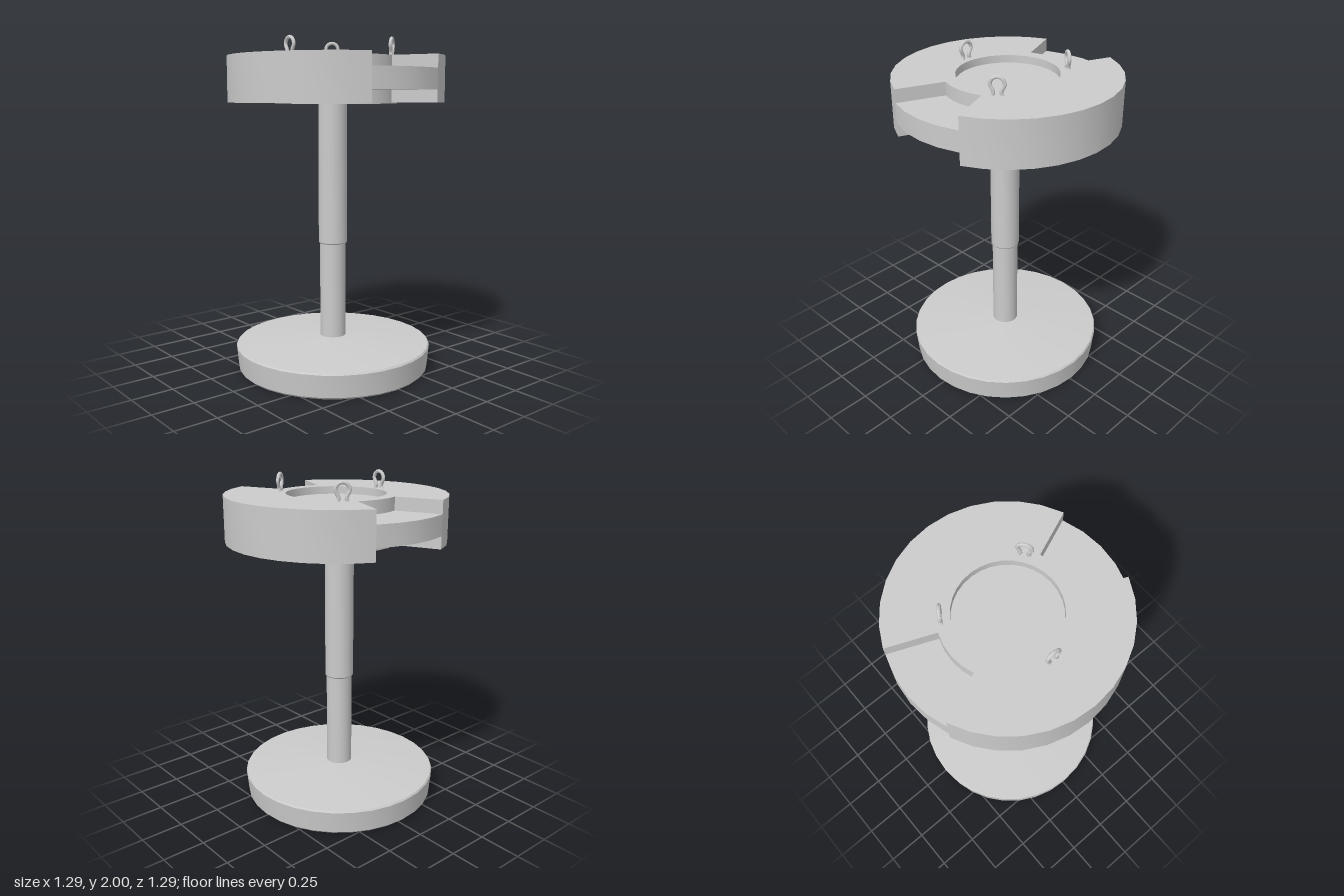
import * as THREE from 'three';
import { toCreasedNormals } from 'three/addons/utils/BufferGeometryUtils.js';

const material = new THREE.MeshStandardMaterial({ color: 0xcccccc });
const SEG = 32;
const STEP = (Math.PI * 2) / SEG;

function addPart(parent, name, geometry) {
  const mesh = new THREE.Mesh(toCreasedNormals(geometry, 0.5), material);
  mesh.name = name;
  parent.add(mesh);
  return mesh;
}

// Surface of revolution from [radius, y] pairs, listed bottom to top
function turned(profile) {
  return new THREE.LatheGeometry(profile.map(([r, y]) => new THREE.Vector2(r, y)), SEG);
}

// Ring sector between two radii; angles count in steps from +z towards +x
function sector(rIn, rOut, y0, y1, first, count) {
  const points = [];
  const put = (r, i) => points.push(new THREE.Vector2(r * Math.sin(i * STEP), -r * Math.cos(i * STEP)));
  for (let i = first; i <= first + count; i++) put(rOut, i);
  for (let i = first + count; i >= first; i--) put(rIn, i);
  const geometry = new THREE.ExtrudeGeometry(new THREE.Shape(points), { depth: y1 - y0, bevelEnabled: false });
  geometry.rotateX(-Math.PI / 2);
  return geometry.translate(0, y0, 0);
}

export function createModel() {
  const model = new THREE.Group();
  model.name = 'pedestal';

  // Base and telescoping column, slightly off the head's axis
  const stand = new THREE.Group();
  stand.name = 'stand';
  stand.position.x = -0.025;
  model.add(stand);
  addPart(stand, 'base', turned([
    [0, 0], [0.57, 0], [0.582, 0.012], [0.595, 0.145], [0.588, 0.155], [0.08, 0.193], [0, 0.193],
  ]));
  addPart(stand, 'lowerColumn', turned([[0.078, 0.18], [0.078, 0.78]]));
  addPart(stand, 'upperColumn', turned([[0.07, 0.77], [0.081, 0.77], [0.086, 0.777], [0.086, 1.69]]));

  // Round head: recessed hub, two thick sides, two thin webs in the notches
  const head = new THREE.Group();
  head.name = 'head';
  model.add(head);
  addPart(head, 'hub', turned([
    [0, 1.68], [0.29, 1.68], [0.29, 1.614], [0.363, 1.614],
    [0.363, 1.89], [0.29, 1.89], [0.29, 1.845], [0, 1.845],
  ]));
  const R = 0.643;
  addPart(head, 'leftSide', sector(0.363, R, 1.62, 1.89, 2, 12));
  addPart(head, 'rightSide', sector(0.363, R, 1.62, 1.89, 18, 12));
  addPart(head, 'frontWeb', sector(0.363, R, 1.693, 1.813, -2, 4));
  addPart(head, 'backWeb', sector(0.363, R, 1.693, 1.813, 14, 4));

  // Three wire loops standing around the recess
  const half = [[0.034, -0.012], [0.021, 0.012], [0.027, 0.032], [0.039, 0.058], [0.028, 0.086]];
  const loopPath = new THREE.CatmullRomCurve3([
    ...half.map(([x, y]) => new THREE.Vector3(-x, y, 0)),
    new THREE.Vector3(0, 0.098, 0),
    ...half.slice().reverse().map(([x, y]) => new THREE.Vector3(x, y, 0)),
  ]);
  const loopGeometry = new THREE.TubeGeometry(loopPath, 32, 0.0105, 8);
  [[-0.337, 0], [0.193, 0.275], [0.193, -0.277]].forEach(([x, z], i) => {
    const loop = addPart(model, `wireLoop${i + 1}`, loopGeometry);
    loop.position.set(x, 1.89, z);
    loop.rotation.y = Math.atan2(x, z);
  });

  return model;
}
